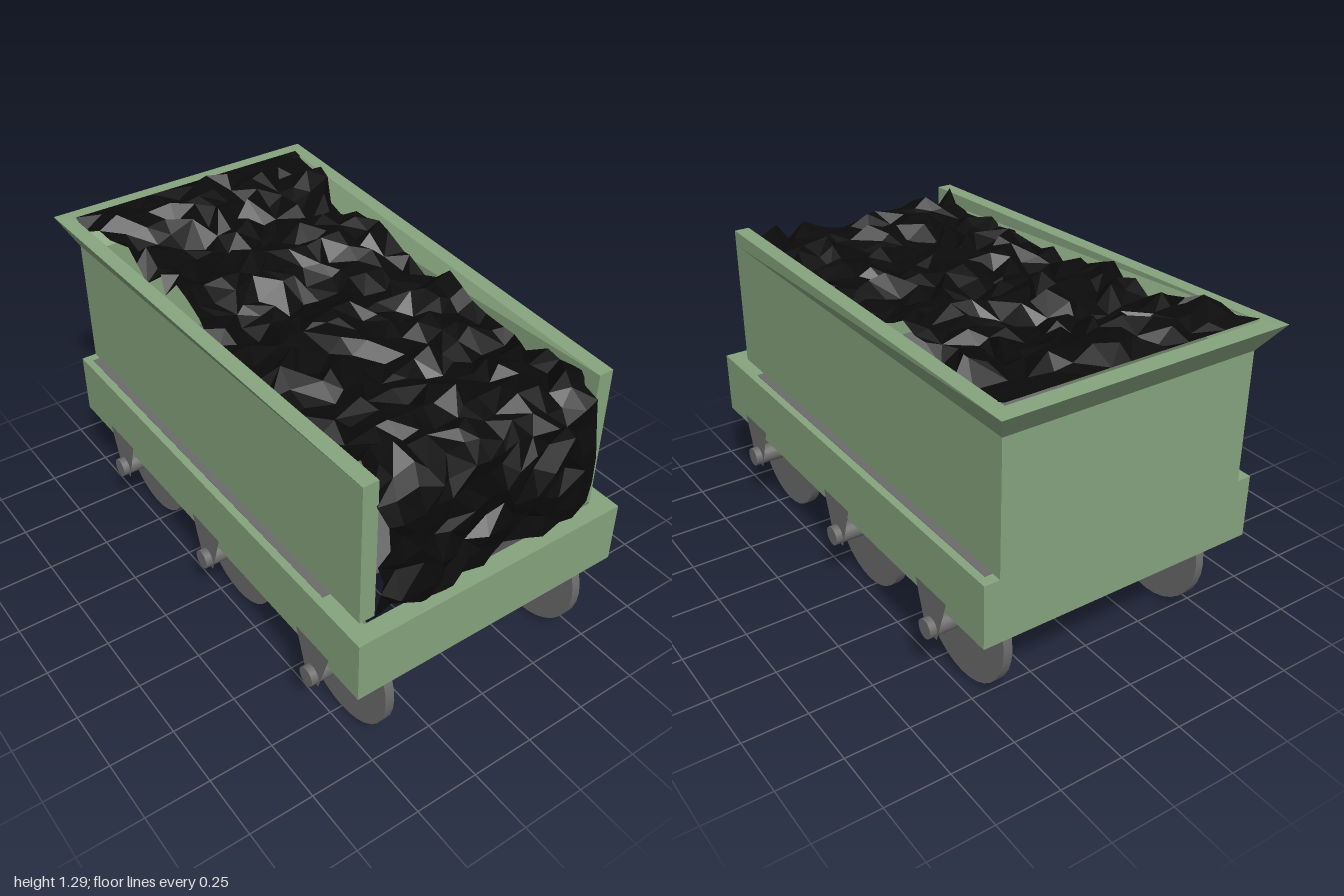
import * as THREE from 'three';

const green = new THREE.MeshStandardMaterial({ name: 'green paint', color: 0x86a47e, flatShading: true });
const grey = new THREE.MeshStandardMaterial({ name: 'grey metal', color: 0x6c6c6c, side: THREE.DoubleSide });
const black = new THREE.MeshStandardMaterial({ name: 'black coal', color: 0x0b0b0b, side: THREE.DoubleSide, flatShading: true });

function add(parent, name, geometry, material, x = 0, y = 0, z = 0) {
  const mesh = new THREE.Mesh(geometry, material);
  mesh.name = name;
  mesh.position.set(x, y, z);
  parent.add(mesh);
  return mesh;
}

// Flat-faced geometry from a list of triangles of [x, y, z] corners
function facets(triangles) {
  const g = new THREE.BufferGeometry();
  g.setAttribute('position', new THREE.Float32BufferAttribute(triangles.flat(2), 3));
  g.computeVertexNormals();
  return g;
}

function seeded(seed) {
  return () => {
    seed = (seed * 16807) % 2147483647;
    return seed / 2147483647;
  };
}

// Rectangular ring lying flat, open in the middle
function frameGeometry() {
  const s = new THREE.Shape();
  s.moveTo(-0.57, -1).lineTo(0.57, -1).lineTo(0.57, 0.92).lineTo(-0.57, 0.92).closePath();
  const h = new THREE.Path();
  h.moveTo(-0.5, -0.93).lineTo(-0.5, 0.85).lineTo(0.5, 0.85).lineTo(0.5, -0.93).closePath();
  s.holes.push(h);
  return new THREE.ExtrudeGeometry(s, { depth: 0.25, bevelEnabled: false }).rotateX(-Math.PI / 2);
}

// U-shaped hopper: a wall section swept round three sides, flaring to the back
function hopperGeometry() {
  const front = [[0.51, 0.62, 0.92], [0.51, 1.13, 0.92], [0.51, 1.19, 0.92],
    [0.45, 1.19, 0.92], [0.45, 1.13, 0.92], [0.45, 0.62, 0.92]];
  const back = [[0.51, 0.62, -0.92], [0.51, 1.13, -0.92], [0.57, 1.24, -1],
    [0.51, 1.24, -0.93], [0.45, 1.13, -0.86], [0.45, 0.62, -0.86]];
  const mirror = (ring) => ring.map(([x, y, z]) => [-x, y, z]);
  const rings = [front, back, mirror(back), mirror(front)];
  const tris = [];
  for (let i = 0; i < 3; i++) {
    for (let j = 0; j < 6; j++) {
      const k = (j + 1) % 6;
      const a = rings[i][j], b = rings[i + 1][j], c = rings[i + 1][k], d = rings[i][k];
      tris.push([a, b, c], [a, c, d]);
    }
  }
  // Front ends of the side walls
  for (let j = 1; j < 5; j++) {
    tris.push([rings[0][0], rings[0][j], rings[0][j + 1]]);
    tris.push([rings[3][0], rings[3][j + 1], rings[3][j]]);
  }
  return facets(tris);
}

// Rough sheet of coal that runs forward and drops over the front
function coalGeometry() {
  const rand = seeded(77);
  const path = new THREE.CurvePath();
  const profile = [[-0.93, 1.25], [-0.72, 1.26], [-0.5, 1.19], [-0.28, 1.22], [0, 1.15],
    [0.22, 1.18], [0.55, 1.14], [0.84, 1.17], [0.94, 1.1], [0.96, 0.9], [0.95, 0.635]];
  for (let i = 0; i < profile.length - 1; i++) {
    path.add(new THREE.LineCurve(new THREE.Vector2(...profile[i]), new THREE.Vector2(...profile[i + 1])));
  }
  const rows = 32, cols = 13;
  const grid = [];
  for (let r = 0; r <= rows; r++) {
    const p = path.getPointAt(r / rows);
    const half = 0.45 + 0.06 * THREE.MathUtils.clamp((-p.x - 0.62) / 0.2, 0, 1);
    const amount = r === 0 ? 0 : 1;
    const face = p.x > 0.9;
    const row = [];
    for (let c = 0; c <= cols; c++) {
      const edge = c === 0 || c === cols;
      const jitter = () => (rand() - 0.5) * amount;
      row.push([
        (c / cols * 2 - 1) * half + jitter() * (edge ? 0.035 : 0.045),
        p.y + jitter() * (face ? 0.045 : 0.08),
        p.x + jitter() * (face ? 0.05 : 0.04),
      ]);
    }
    grid.push(row);
  }
  const tris = [];
  for (let r = 0; r < rows; r++) {
    for (let c = 0; c < cols; c++) {
      const a = grid[r][c], b = grid[r + 1][c], d = grid[r][c + 1], e = grid[r + 1][c + 1];
      if (rand() > 0.5) tris.push([a, b, e], [a, e, d]);
      else tris.push([a, b, d], [b, e, d]);
    }
  }
  return facets(tris);
}

export function createModel() {
  const model = new THREE.Group();
  model.name = 'coalWagon';

  add(model, 'baseFrame', frameGeometry(), green, 0, 0.37, 0);
  add(model, 'floor', new THREE.BoxGeometry(1.08, 0.02, 1.64), grey, 0, 0.612, -0.06);
  add(model, 'hopper', hopperGeometry(), green);
  add(model, 'coal', coalGeometry(), black);

  // Running gear: axle, two wheels and two hanger plates at each station
  const wheel = new THREE.CylinderGeometry(0.25, 0.25, 0.036, 32).rotateZ(Math.PI / 2);
  const axle = new THREE.CylinderGeometry(0.038, 0.038, 1.2, 20).rotateZ(Math.PI / 2);
  const plate = new THREE.Shape();
  plate.moveTo(-0.095, 0.41).lineTo(-0.035, 0.222).lineTo(0.035, 0.222).lineTo(0.095, 0.41).closePath();
  const hanger = new THREE.ShapeGeometry(plate).rotateY(Math.PI / 2);

  for (const z of [0.745, 0.05, -0.61]) {
    const set = new THREE.Group();
    set.name = 'wheelSet';
    set.position.z = z;
    add(set, 'axle', axle, grey, 0, 0.258, 0);
    for (const side of [-1, 1]) {
      add(set, 'wheel', wheel, grey, side * 0.43, 0.252, 0);
      add(set, 'hangerPlate', hanger, grey, side * 0.573, 0, 0);
    }
    model.add(set);
  }
  return model;
}
